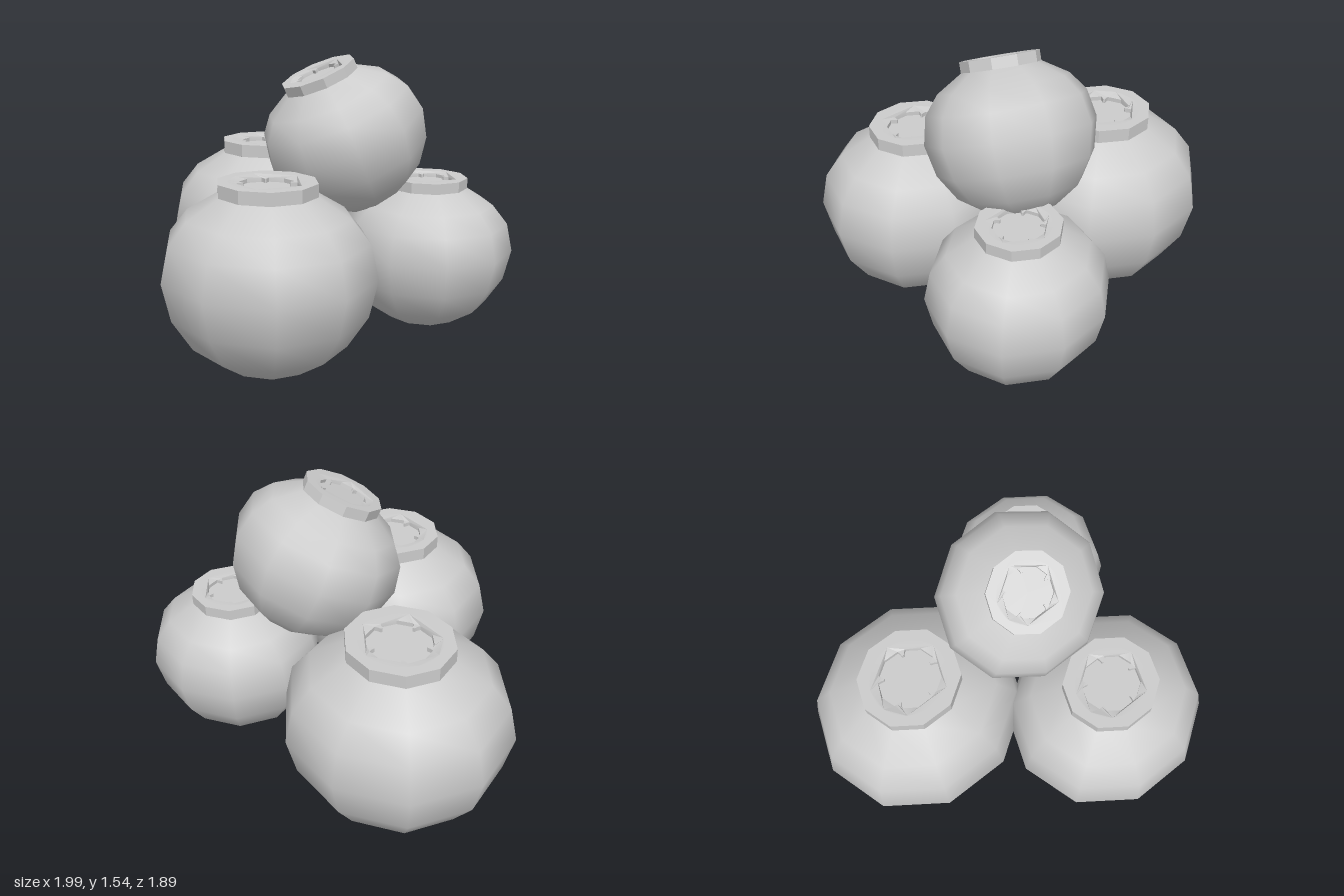
import * as THREE from 'three';
import { toCreasedNormals } from 'three/addons/utils/BufferGeometryUtils.js';

const material = new THREE.MeshStandardMaterial({ color: 0xcccccc });

// Closed outline of n points on a circle, starting at the +y corner
function polygon(n, r) {
  return Array.from({ length: n }, (_, i) => {
    const a = Math.PI / 2 + (i / n) * Math.PI * 2;
    return new THREE.Vector2(Math.cos(a) * r, Math.sin(a) * r);
  });
}

// Opening of the crown: five shallow lobes parted by small notches
function lobedOutline() {
  const lobe = [[0.03, 0.22], [0.06, 0.25], [0.1, 0.275], [0.5, 0.285], [0.9, 0.275], [0.94, 0.25], [0.97, 0.22]];
  const points = [];
  for (let i = 0; i < 5; i++) {
    for (const [f, r] of lobe) {
      const a = -Math.PI / 2 + ((i + f) / 5) * Math.PI * 2;
      points.push(new THREE.Vector2(Math.cos(a) * r, Math.sin(a) * r));
    }
  }
  return points;
}

// Flat plate with a hole, lying on y = base
function plate(outer, hole, depth, base, adjust) {
  const shape = new THREE.Shape(outer);
  shape.holes.push(new THREE.Path(hole));
  const geo = new THREE.ExtrudeGeometry(shape, { depth, bevelEnabled: false });
  geo.rotateX(-Math.PI / 2);
  const p = geo.attributes.position;
  for (let i = 0; i < p.count; i++) {
    p.setY(i, p.getY(i) + adjust(p.getX(i), p.getY(i), p.getZ(i)));
  }
  geo.translate(0, base, 0);
  return toCreasedNormals(geo, 0.4);
}

// Unit berry: ten-sided round body, flatter at the shoulder
const profile = [[0, -0.99], [0.42, -0.9], [0.73, -0.68], [0.92, -0.37], [1, 0], [0.93, 0.33], [0.76, 0.55], [0.44, 0.75]];

function makeParts() {
  const body = new THREE.LatheGeometry(profile.map(([r, y]) => new THREE.Vector2(r, y)), 10);
  // Rim dips over the shoulder on one side
  const rim = plate(polygon(10, 0.46), polygon(20, 0.35), 0.125, 0.74,
    (x, y) => (x < -0.42 && y < 0.06 ? -0.07 : 0));
  // Lip slopes down to the lobed opening
  const lip = plate(polygon(20, 0.35), lobedOutline(), 0.08, 0.785,
    (x, y, z) => (Math.hypot(x, z) < 0.31 ? -0.03 : 0));
  const floor = new THREE.CircleGeometry(0.35, 20).rotateX(-Math.PI / 2).translate(0, 0.795, 0);
  return { body, crownRim: rim, crownLip: lip, crownFloor: floor };
}

export function createModel() {
  const model = new THREE.Group();
  model.name = 'berryPile';
  const parts = makeParts();

  // Name, centre, radius, direction of the crown
  const berries = [
    ['rightBerry', [-0.45, 0.55, -0.4], 0.55, [0, 1, 0]],
    ['frontBerry', [0.1, 0.55, 0.43], 0.515, [0, 1, 0]],
    ['leftBerry', [0.56, 0.54, -0.4], 0.435, [0, 1, 0]],
    ['topBerry', [0.18, 1.14, -0.17], 0.415, [-0.26, 0.9, 0.31]],
  ];

  const up = new THREE.Vector3(0, 1, 0);
  for (const [name, centre, radius, axis] of berries) {
    const berry = new THREE.Group();
    berry.name = name;
    for (const [part, geometry] of Object.entries(parts)) {
      const mesh = new THREE.Mesh(geometry, material);
      mesh.name = part;
      berry.add(mesh);
    }
    berry.position.set(...centre);
    berry.scale.set(radius * 1.05, radius, radius);
    berry.quaternion.setFromUnitVectors(up, new THREE.Vector3(...axis).normalize());
    model.add(berry);
  }
  return model;
}
